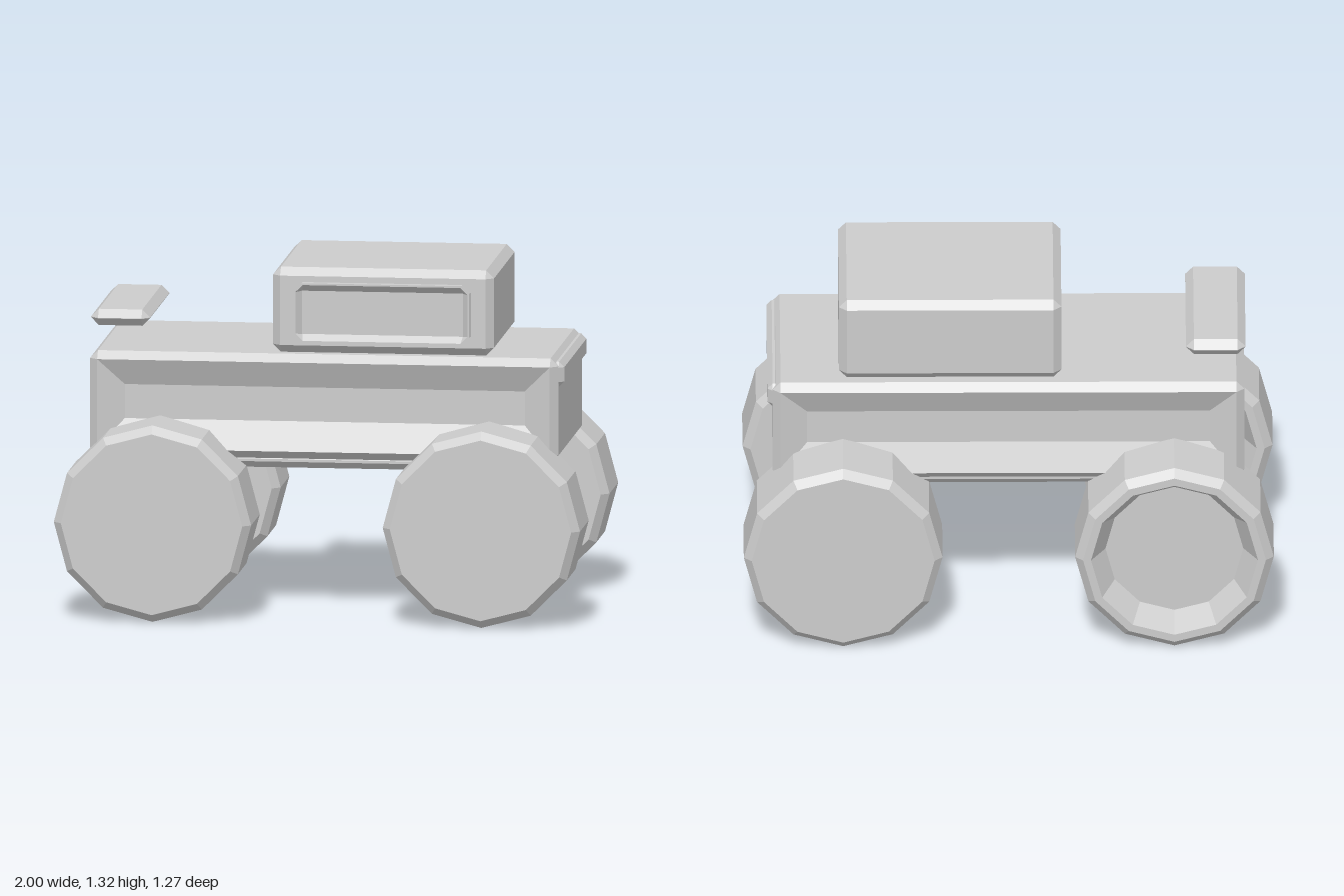
import * as THREE from 'three';

const grey = new THREE.MeshStandardMaterial({ color: 0xcccccc });
grey.name = 'plain grey';

// Skin a list of equal-length rings (counter-clockwise seen from +z), capped at both ends, with flat faces.
function loft(rings) {
  const pos = [];
  const tri = (a, b, c) => {
    const area = b.clone().sub(a).cross(c.clone().sub(a)).length();
    if (area > 1e-8) for (const p of [a, b, c]) pos.push(p.x, p.y, p.z);
  };
  const n = rings[0].length;
  for (let i = 0; i < rings.length - 1; i++) {
    const a = rings[i], b = rings[i + 1];
    for (let j = 0; j < n; j++) {
      const k = (j + 1) % n;
      tri(a[j], a[k], b[j]);
      tri(a[k], b[k], b[j]);
    }
  }
  const first = rings[0], last = rings[rings.length - 1];
  for (let j = 1; j < n - 1; j++) {
    tri(first[0], first[j + 1], first[j]);
    tri(last[0], last[j], last[j + 1]);
  }
  const geo = new THREE.BufferGeometry();
  geo.setAttribute('position', new THREE.Float32BufferAttribute(pos, 3));
  geo.computeVertexNormals();
  return geo;
}

// Rectangle with cut corners, as an eight-point ring at depth z.
function rectRing(x0, x1, y0, y1, z, cut = 0) {
  return [
    [x1 - cut, y0], [x1, y0 + cut], [x1, y1 - cut], [x1 - cut, y1],
    [x0 + cut, y1], [x0, y1 - cut], [x0, y0 + cut], [x0 + cut, y0],
  ].map(([x, y]) => new THREE.Vector3(x, y, z));
}

// Box with every edge bevelled by c.
function bevelBox(x0, x1, y0, y1, z0, z1, c) {
  const inner = (z) => rectRing(x0 + c, x1 - c, y0 + c, y1 - c, z);
  const outer = (z) => rectRing(x0, x1, y0, y1, z, c);
  return loft([inner(z0), outer(z0 + c), outer(z1 - c), inner(z1)]);
}

// Twelve-sided wheel; a dished one is hollowed on its -z face.
function wheelGeometry(dished) {
  const h = 0.167, R = 0.375, c = 0.03;
  const profile = [[-h, R - c], [-h + c, R], [h - c, R], [h, R - c]];
  if (dished) profile.unshift([-h + 0.1, 0.26], [-h, 0.315]);
  return loft(profile.map(([z, r]) => Array.from({ length: 12 }, (_, i) => {
    const a = (i * Math.PI) / 6;
    return new THREE.Vector3(r * Math.cos(a), r * Math.sin(a), z);
  })));
}

export function createModel() {
  const model = new THREE.Group();
  model.name = 'vehicle';
  const add = (name, geo) => {
    const mesh = new THREE.Mesh(geo, grey);
    mesh.name = name;
    model.add(mesh);
    return mesh;
  };

  // Bevelled hull with a shallow sunken panel on each long side
  add('body', loft([
    rectRing(-0.76, 0.76, 0.74, 0.87, -0.355),
    rectRing(-0.86, 0.86, 0.63, 0.97, -0.4),
    rectRing(-0.89, 0.89, 0.6, 1.0, -0.37, 0.03),
    rectRing(-0.89, 0.89, 0.6, 1.0, 0.37, 0.03),
    rectRing(-0.86, 0.86, 0.63, 0.97, 0.4),
    rectRing(-0.76, 0.76, 0.74, 0.87, 0.355),
  ]));

  // Slab under the hull
  add('chassis', bevelBox(-0.78, 0.78, 0.56, 0.62, -0.36, 0.36, 0.025));

  // Lip along the top of the +x end
  add('endLip', bevelBox(0.86, 0.91, 0.89, 0.985, -0.37, 0.37, 0.02));

  // Cabin block on top
  add('cabin', bevelBox(-0.2, 0.64, 1.0, 1.325, -0.355, 0.355, 0.03));

  // Raised window surround with a bevelled recess
  add('window', loft([
    rectRing(-0.115, 0.553, 1.045, 1.272, 0.345, 0.03),
    rectRing(-0.115, 0.553, 1.045, 1.272, 0.385, 0.03),
    rectRing(-0.108, 0.546, 1.052, 1.265, 0.385, 0.027),
    rectRing(-0.085, 0.525, 1.075, 1.24, 0.36),
  ]));

  // Rear wing
  add('spoiler', bevelBox(-0.895, -0.67, 1.085, 1.147, -0.337, 0.33, 0.03));

  // Wheels: solid at +x, dished at -x
  for (const sx of [-1, 1]) {
    const geo = wheelGeometry(sx < 0);
    for (const sz of [-1, 1]) {
      const wheel = add(`wheel${sz > 0 ? 'Front' : 'Back'}${sx > 0 ? 'Left' : 'Right'}`, geo);
      wheel.position.set(sx * 0.625, 0.378, sz * 0.467);
    }
  }
  return model;
}
